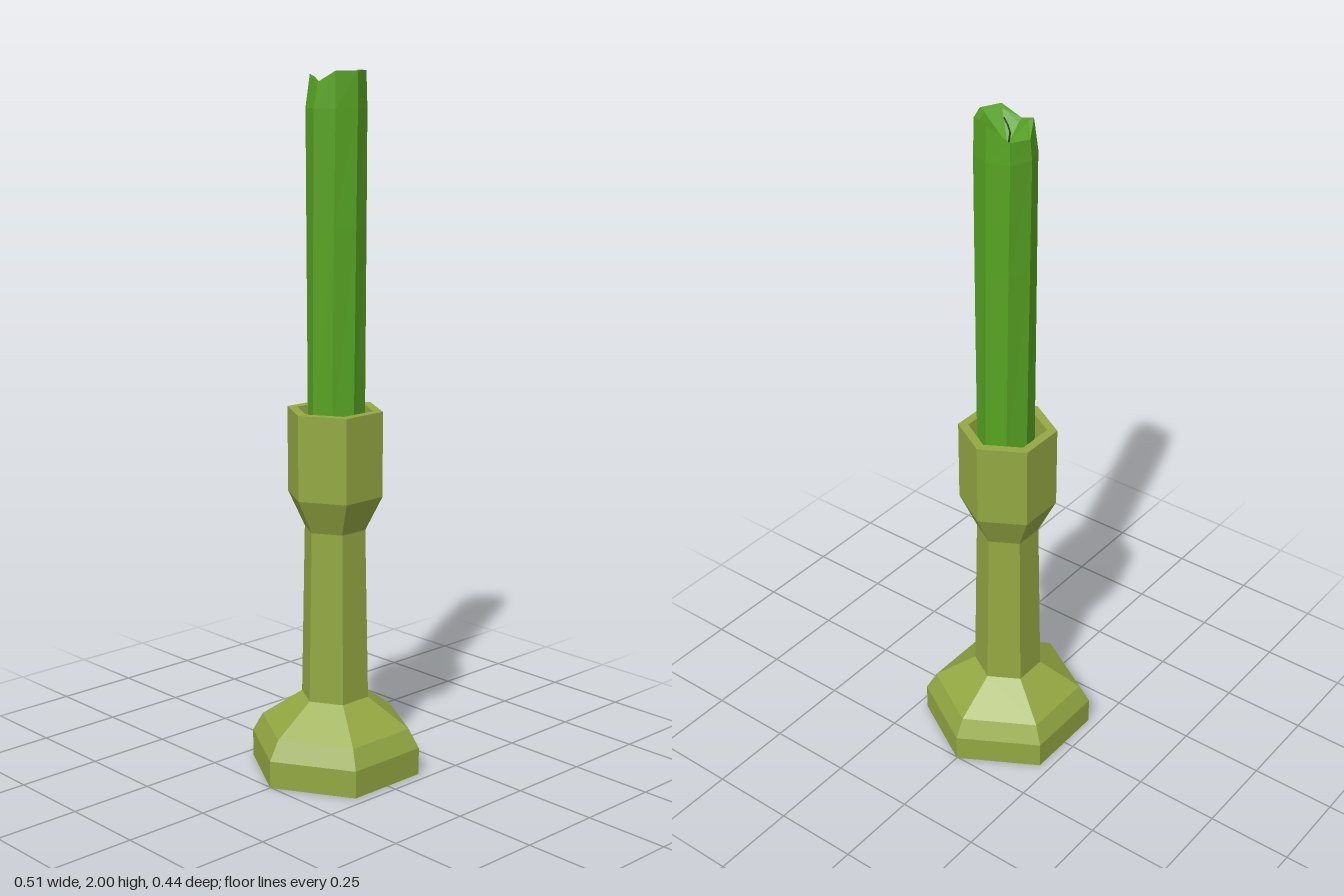
import * as THREE from 'three';

function material(name, color) {
  const m = new THREE.MeshStandardMaterial({ color, flatShading: true });
  m.name = name;
  return m;
}

function addMesh(group, name, geometry, mat) {
  const mesh = new THREE.Mesh(geometry, mat);
  mesh.name = name;
  group.add(mesh);
}

// Skins a stack of eight-sided rings, closing both ends with a centre point.
function loft(rings, start, end) {
  const n = rings[0].length, pos = [...rings.flat(2), ...start, ...end], index = [];
  const first = rings.length * n, last = first + 1;
  for (let k = 0; k < n; k++) {
    const j = (k + 1) % n;
    for (let r = 0; r < rings.length - 1; r++) {
      const a = r * n + k, b = r * n + j;
      index.push(a, a + n, b, b, a + n, b + n);
    }
    const top = (rings.length - 1) * n;
    index.push(first, k, j, last, top + j, top + k);
  }
  const g = new THREE.BufferGeometry();
  g.setAttribute('position', new THREE.Float32BufferAttribute(pos, 3));
  g.setIndex(index);
  g.computeVertexNormals();
  return g;
}

export function createModel() {
  const group = new THREE.Group();
  group.name = 'candlestick';
  const brass = material('olive brass', 0x94a842);
  const wax = material('green wax', 0x57a323);
  const soot = material('dark wick', 0x26401a);

  // Hexagonal holder: foot, stem and open cup, corners on the x axis
  const holder = [
    [0, 0], [0.253, 0], [0.253, 0.08], [0.222, 0.135], [0.1, 0.22],
    [0.09, 0.72], [0.14, 0.82], [0.14, 1.065], [0.111, 1.065], [0.104, 1.0], [0, 1.0],
  ].map(([x, y]) => new THREE.Vector2(x, y));
  addMesh(group, 'holder', new THREE.LatheGeometry(holder, 6, Math.PI / 2), brass);

  // Uneven wax candle with a melted rim and a hollow top
  const rimY = [2, 2, 2, 2, 1.97, 1.99, 1.955, 1.96];
  const rimR = [0.08, 0.081, 0.083, 0.08, 0.068, 0.072, 0.078, 0.08];
  const ring = (radius, height, twist = 0) => rimY.map((_, k) => {
    const a = k * Math.PI / 4 + twist, r = radius(k);
    return [r * Math.cos(a), height(k), r * Math.sin(a) + 0.006];
  });
  const candle = loft([
    ring(() => 0.081, () => 0.99, 0.12),
    ring(() => 0.083, () => 1.58, 0.05),
    ring(() => 0.084, () => 1.9),
    ring((k) => rimR[k], (k) => rimY[k]),
    ring((k) => rimR[k] - 0.014, (k) => rimY[k] - 0.008),
  ], [0, 0.99, 0], [0, 1.92, 0]);
  addMesh(group, 'candle', candle, wax);

  // Bent wick
  const path = new THREE.CatmullRomCurve3([
    new THREE.Vector3(0, 1.915, 0),
    new THREE.Vector3(-0.002, 1.96, -0.006),
    new THREE.Vector3(0.003, 1.995, 0.01),
  ]);
  addMesh(group, 'wick', new THREE.TubeGeometry(path, 4, 0.003, 4), soot);

  return group;
}
